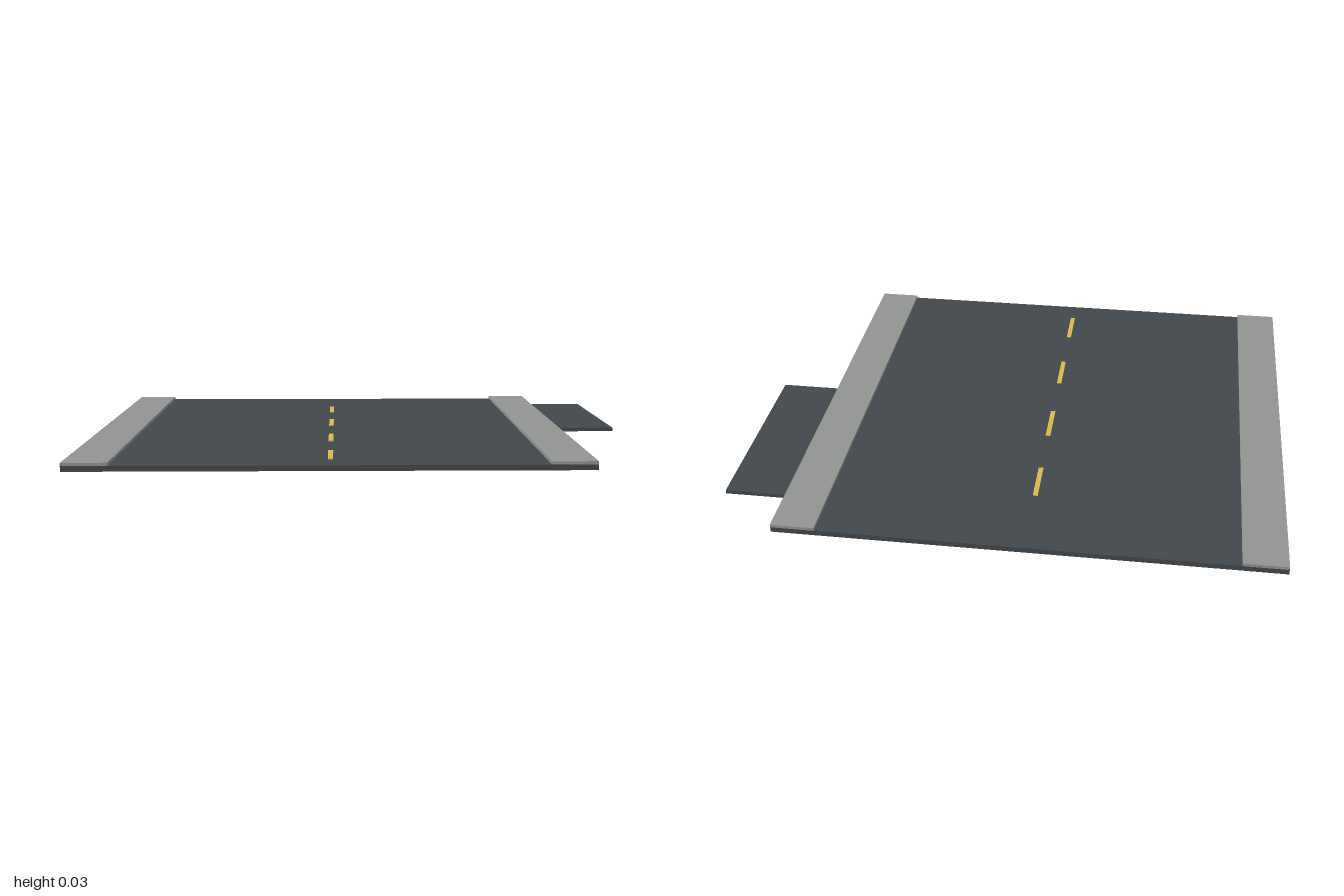
import * as THREE from 'three';

export function createModel() {
  const group = new THREE.Group();
  const asphalt = new THREE.MeshStandardMaterial({ color: 0x42474b });
  const concrete = new THREE.MeshStandardMaterial({ color: 0x929491 });
  const paint = new THREE.MeshStandardMaterial({ color: 0xd9b84a });

  // Box given by its extents along each axis
  function slab(name, material, [x0, x1], [y0, y1], [z0, z1]) {
    const mesh = new THREE.Mesh(new THREE.BoxGeometry(x1 - x0, y1 - y0, z1 - z0), material);
    mesh.position.set((x0 + x1) / 2, (y0 + y1) / 2, (z0 + z1) / 2);
    mesh.name = name;
    group.add(mesh);
  }

  const length = [-0.888, 0.888];
  const roadTop = 0.019;

  // Roadway
  slab('road', asphalt, [-1, 0.775], [0, roadTop], length);

  // Raised pavements along both edges
  slab('rightSidewalk', concrete, [-1, -0.845], [roadTop, 0.03], length);
  slab('leftSidewalk', concrete, [0.62, 0.775], [roadTop, 0.03], length);

  // Driveway apron, slightly thinner than the road
  slab('driveway', asphalt, [0.775, 1], [0.004, 0.018], [-0.695, 0.05]);

  // Dashed centre line
  for (let i = 0; i < 4; i++) {
    const z = -0.497 + i * 0.395;
    slab(`laneDash${i + 1}`, paint, [-0.122, -0.104], [roadTop, 0.022], [z - 0.088, z + 0.088]);
  }

  return group;
}
